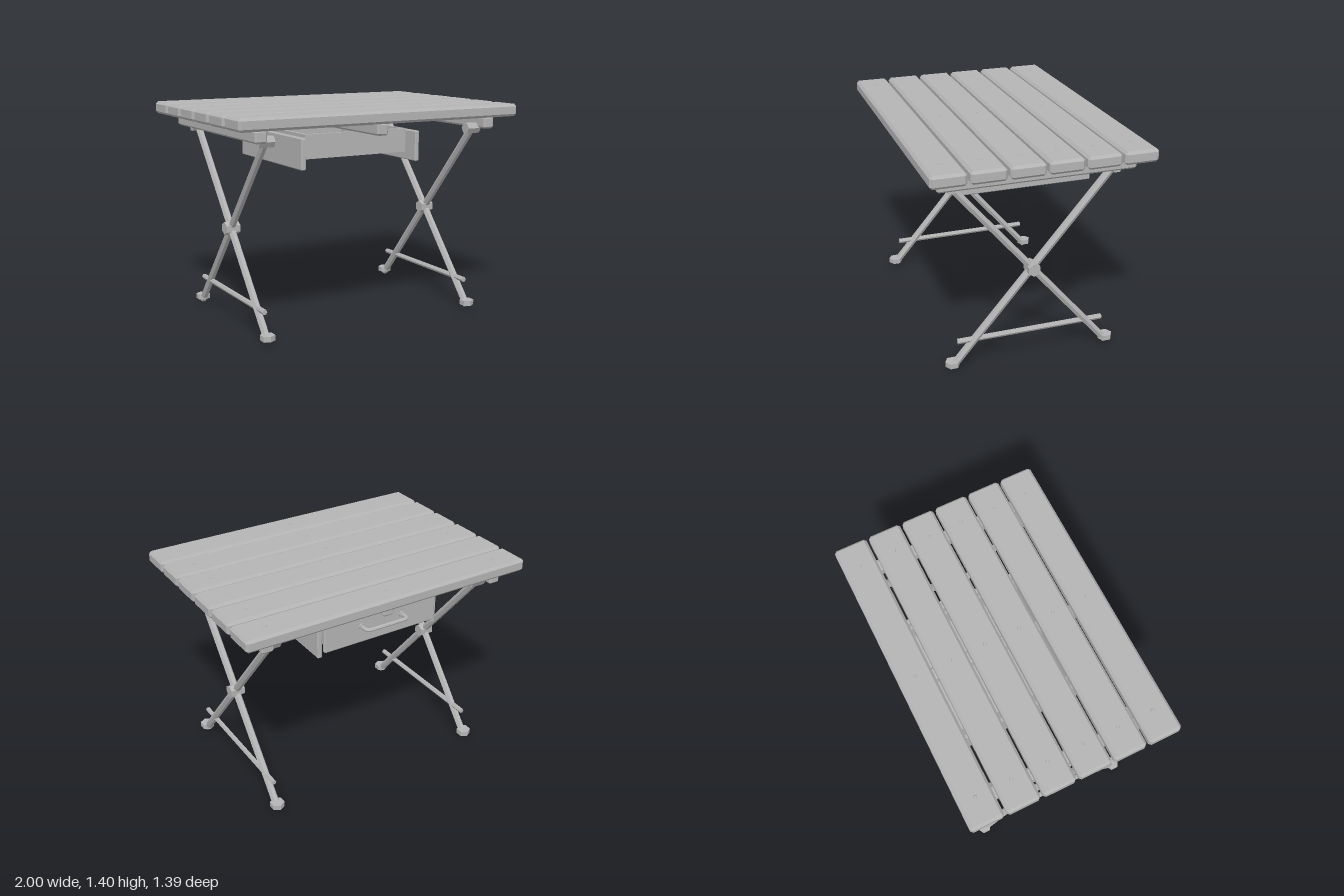
import * as THREE from 'three';
import { ConvexGeometry } from 'three/addons/geometries/ConvexGeometry.js';

export function createModel() {
  const table = new THREE.Group();
  table.name = 'foldingTable';
  const grey = new THREE.MeshStandardMaterial({ color: 0xb4b4b4 });
  grey.name = 'plain grey';

  // Adds a flat-shaded part
  function add(name, geometry, x, y, z) {
    const flat = geometry.index ? geometry.toNonIndexed() : geometry;
    flat.computeVertexNormals();
    const mesh = new THREE.Mesh(flat, grey);
    mesh.name = name;
    mesh.position.set(x, y, z);
    table.add(mesh);
    return mesh;
  }

  // Box with every edge cut by a chamfer c
  function chamferBox(w, h, d, c) {
    const points = [];
    const [a, b, e] = [w / 2, h / 2, d / 2];
    for (const i of [-1, 1]) for (const j of [-1, 1]) for (const k of [-1, 1]) {
      points.push(
        new THREE.Vector3(i * a, j * (b - c), k * (e - c)),
        new THREE.Vector3(i * (a - c), j * b, k * (e - c)),
        new THREE.Vector3(i * (a - c), j * (b - c), k * e));
    }
    return new ConvexGeometry(points);
  }

  const hexBar = (r, length) => new THREE.CylinderGeometry(r, r, length, 6);

  // Tabletop planks with three nails each
  for (let i = 0; i < 6; i++) {
    const z = (i - 2.5) * 0.235;
    add('plank', chamferBox(1.995, 0.081, 0.218, 0.016), 0, 1.358, z);
    for (const x of [-0.827, 0, 0.827]) {
      add('nail', new THREE.CylinderGeometry(0.01, 0.014, 0.008, 8), x, 1.4, z);
    }
  }

  // Rails running under the planks
  for (const x of [-0.826, 0, 0.826]) {
    add('rail', chamferBox(0.08, 0.079, 1.243, 0.012), x, 1.277, 0);
  }

  // Crossed leg frames
  const legTop = 1.232, legFoot = 0.014, reach = 0.52;
  const pivotY = (legTop + legFoot) / 2;
  const legLength = Math.hypot(legTop - legFoot, reach * 2);
  const lean = Math.atan2(reach * 2, legTop - legFoot);
  for (const side of [-1, 1]) {
    const x = side * 0.757;
    for (const s of [-1, 1]) {
      add('leg', hexBar(0.025, legLength).rotateY(Math.PI / 2).rotateX(s * lean), x, pivotY, 0);
      add('foot', hexBar(0.047, 0.034), x, 0.038, s * reach);
      add('topAxle', hexBar(0.038, 0.1).rotateZ(Math.PI / 2), x, 1.237, s * reach);
    }
    add('centrePivot', hexBar(0.043, 0.095).rotateZ(Math.PI / 2).rotateX(Math.PI / 2), x, pivotY, 0);
    add('stretcher', hexBar(0.0175, 0.97).rotateY(Math.PI / 2).rotateX(Math.PI / 2), x, 0.187, 0);
  }

  // Drawer runners beside the drawer
  for (const side of [-1, 1]) {
    add('drawerRunner', chamferBox(0.032, 0.202, 0.892, 0.006), side * 0.424, 1.121, -0.069);
    add('drawerSide', new THREE.BoxGeometry(0.02, 0.154, 0.82), side * 0.367, 1.158, -0.105);
  }

  // Drawer tray and its front, which opens to the rear
  add('drawerBottom', new THREE.BoxGeometry(0.75, 0.02, 0.82), 0, 1.088, -0.105);
  add('drawerEnd', new THREE.BoxGeometry(0.715, 0.154, 0.02), 0, 1.158, 0.296);
  add('drawerFront', chamferBox(0.82, 0.194, 0.032, 0.01), 0, 1.157, -0.53);

  // Bent pull handle with mounting discs
  const path = new THREE.CurvePath();
  const bend = [[-0.15, -0.54], [-0.15, -0.585], [-0.12, -0.615], [0.12, -0.615], [0.15, -0.585], [0.15, -0.54]]
    .map(([x, z]) => new THREE.Vector3(x, 0, z));
  const line = (i) => new THREE.LineCurve3(bend[i], bend[i + 1]);
  const corner = (i, x) => new THREE.QuadraticBezierCurve3(bend[i], new THREE.Vector3(x, 0, -0.615), bend[i + 1]);
  [line(0), corner(1, -0.15), line(2), corner(3, 0.15), line(4)].forEach((c) => path.add(c));
  add('drawerHandle', new THREE.TubeGeometry(path, 40, 0.0125, 8), 0, 1.177, 0);
  for (const side of [-1, 1]) {
    add('handleMount', new THREE.CylinderGeometry(0.02, 0.02, 0.012, 8).rotateX(Math.PI / 2), side * 0.15, 1.177, -0.55);
  }

  return table;
}
